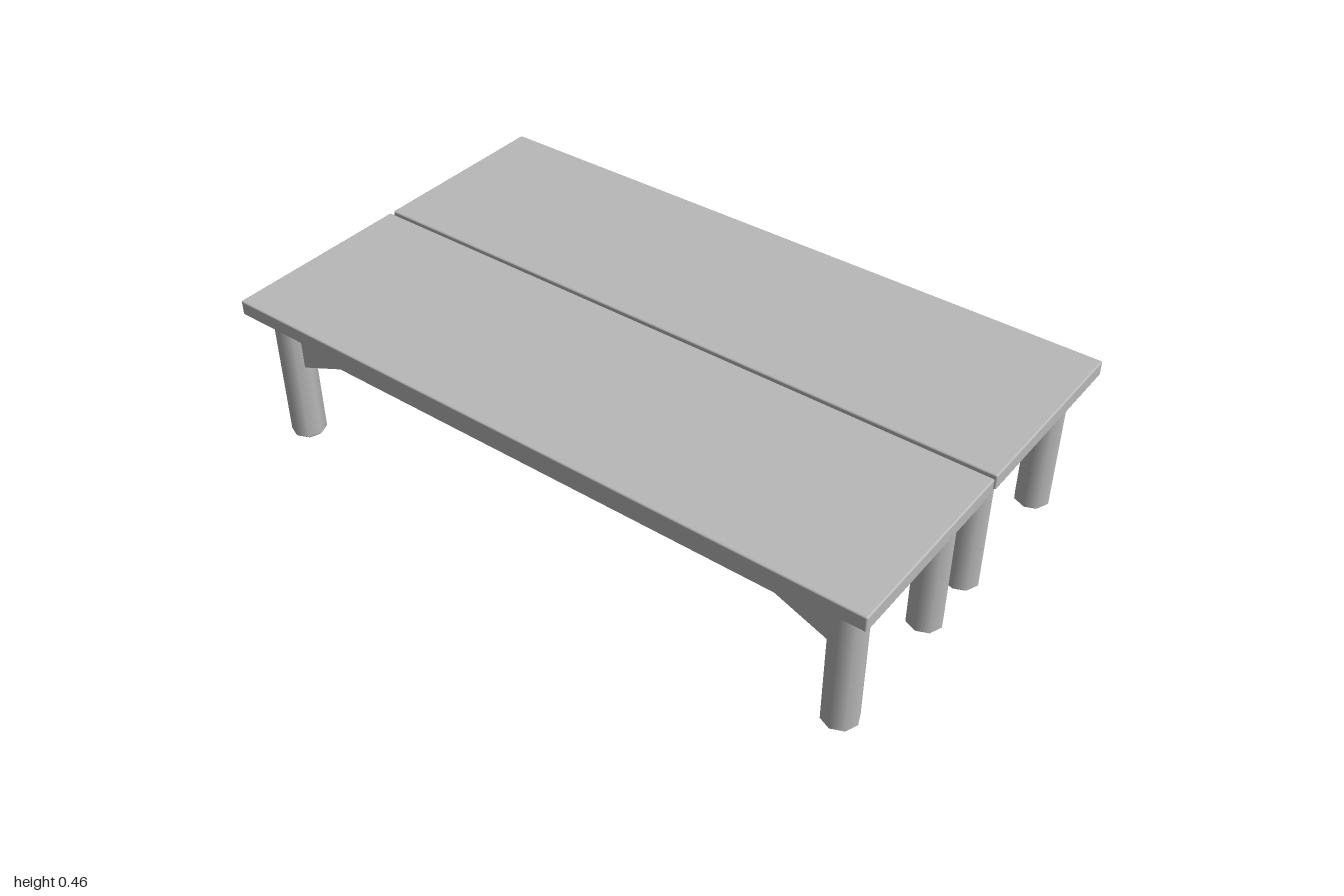
import * as THREE from 'three';
import { RoundedBoxGeometry } from 'three/addons/geometries/RoundedBoxGeometry.js';

const grey = new THREE.MeshStandardMaterial({ color: 0xb8b8b8 });
grey.name = 'plain grey';

const LEG_X = 0.2, LEG_Z = 0.91, LEG_R = 0.05;
const TOP_Y = 0.46, UNDER_Y = 0.415, APRON_Y = 0.31, THICK = 0.03;

function add(parent, name, geometry, x, y, z) {
  const mesh = new THREE.Mesh(geometry, grey);
  mesh.name = name;
  mesh.position.set(x, y, z);
  parent.add(mesh);
  return mesh;
}

// Eight-sided leg with softly shaded sides and a small chamfered foot
function makeLeg() {
  const leg = new THREE.Group();
  leg.name = 'leg';
  const chamfer = 0.006, height = UNDER_Y - chamfer;
  add(leg, 'legPost', new THREE.CylinderGeometry(LEG_R, LEG_R, height, 8, 1, true), 0, chamfer + height / 2, 0);
  add(leg, 'legFoot', new THREE.CylinderGeometry(LEG_R, LEG_R - chamfer, chamfer, 8), 0, chamfer / 2, 0);
  return leg;
}

// Triangular brace running from the leg (+z) up to the apron
function braceGeometry() {
  const shape = new THREE.Shape([
    new THREE.Vector2(-0.875, 0.245),
    new THREE.Vector2(-0.715, APRON_Y),
    new THREE.Vector2(-0.875, APRON_Y),
  ]);
  const geometry = new THREE.ExtrudeGeometry(shape, { depth: THICK, bevelEnabled: false });
  geometry.translate(0, 0, -THICK / 2);
  geometry.rotateY(Math.PI / 2);
  return geometry;
}

function makeTable() {
  const table = new THREE.Group();
  table.name = 'table';
  const topH = TOP_Y - UNDER_Y, apronH = UNDER_Y - APRON_Y;
  const apronY = APRON_Y + apronH / 2;

  add(table, 'tableTop', new RoundedBoxGeometry(0.578, topH, 2, 2, 0.005), 0, UNDER_Y + topH / 2, 0);

  const brace = braceGeometry();
  for (const s of [-1, 1]) {
    // Aprons run between the leg centres
    add(table, 'sideApron', new THREE.BoxGeometry(THICK, apronH, 2 * LEG_Z), s * LEG_X, apronY, 0);
    add(table, 'endApron', new THREE.BoxGeometry(2 * LEG_X, apronH, THICK), 0, apronY, s * LEG_Z);
    for (const e of [-1, 1]) {
      const leg = makeLeg();
      leg.position.set(s * LEG_X, 0, e * LEG_Z);
      table.add(leg);
      add(table, 'cornerBrace', brace, s * LEG_X, 0, 0).rotation.y = e > 0 ? 0 : Math.PI;
    }
  }
  return table;
}

export function createModel() {
  const model = new THREE.Group();
  model.name = 'pairOfLowTables';
  // Two matching tables side by side with a narrow gap
  for (const s of [-1, 1]) {
    const table = makeTable();
    table.name = s > 0 ? 'leftTable' : 'rightTable';
    table.position.x = s * 0.295;
    model.add(table);
  }
  return model;
}
